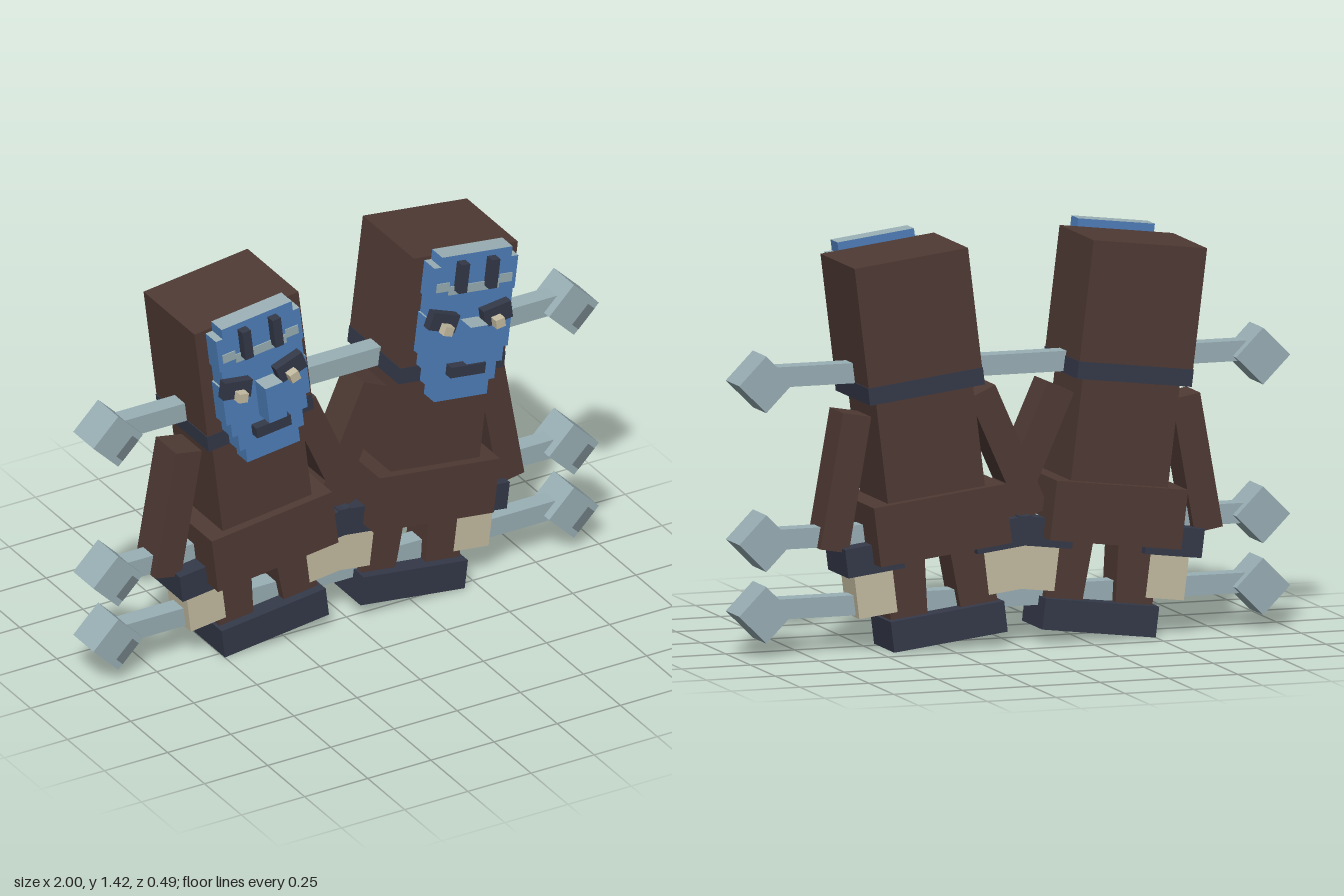
import * as THREE from 'three';

const material = (name, color) => {
  const m = new THREE.MeshStandardMaterial({ color });
  m.name = name;
  return m;
};

export function createModel() {
  const brown = material('brown cloth', 0x4f3a34);
  const navy = material('dark navy', 0x343949);
  const blue = material('mask blue', 0x4e7fbb);
  const steel = material('pale steel', 0x9ab0b6);
  const stain = material('steel stain', 0x6f7d83);
  const beige = material('beige', 0xc5bca2);
  const MID = -0.07; // depth of the body's centre plane

  const box = (parent, name, mat, [w, h, d], [x, y, z], tilt = 0) => {
    const mesh = new THREE.Mesh(new THREE.BoxGeometry(w, h, d), mat);
    mesh.name = name;
    mesh.position.set(x, y, z);
    mesh.rotation.z = THREE.MathUtils.degToRad(tilt);
    parent.add(mesh);
    return mesh;
  };
  // box faces: +x, -x, +y, -y, +z, -z; the mask has pale upper faces
  const maskFaces = [blue, blue, steel, blue, blue, blue];

  // One upright figure, centred on its foot block
  function figure(name) {
    const g = new THREE.Group();
    g.name = name;
    box(g, 'footBlock', navy, [0.415, 0.107, 0.205], [0, 0, MID]);
    box(g, 'skirt', brown, [0.48, 0.207, 0.345], [0.003, 0.367, MID]);
    box(g, 'torso', brown, [0.355, 0.4, 0.28], [0.003, 0.635, MID]);
    box(g, 'collar', navy, [0.42, 0.06, 0.347], [0.004, 0.856, MID]);
    box(g, 'head', brown, [0.415, 0.42, 0.345], [0.004, 1.096, MID]);

    // limbs, mirrored
    for (const s of [-1, 1]) {
      box(g, 'leg', brown, [0.135, 0.28, 0.135], [s * 0.12, 0.17, MID], s * 4);
      box(g, 'arm', brown, [0.104, 0.475, 0.137], [s * 0.298, 0.553, MID], s * 17);
      box(g, 'cuff', navy, [0.207, 0.1, 0.205], [s * 0.237, 0.281, MID]);
      box(g, 'hand', beige, [0.14, 0.16, 0.136], [s * 0.237, 0.157, MID]);
    }

    // stepped mask: [half width, bottom, top]
    const face = new THREE.Group();
    face.name = 'mask';
    face.position.x = 0.005;
    g.add(face);
    const rows = [
      [0.105, 0.775, 0.83], [0.128, 0.83, 0.895], [0.15, 0.895, 0.95],
      [0.167, 0.95, 1.1], [0.16, 1.1, 1.17], [0.167, 1.17, 1.295], [0.14, 1.295, 1.333],
    ];
    for (const [half, y0, y1] of rows) {
      box(face, 'maskRow', maskFaces, [half * 2, y1 - y0, 0.07], [0, (y0 + y1) / 2, 0.14]);
    }
    box(face, 'nose', maskFaces, [0.07, 0.14, 0.07], [-0.002, 1.012, 0.21]);
    box(face, 'mouth', navy, [0.137, 0.04, 0.035], [-0.004, 0.897, 0.192]);
    box(face, 'browStripe', steel, [0.2, 0.033, 0.006], [0, 1.2, 0.176]);
    for (const s of [-1, 1]) {
      box(face, 'browStripeEnd', steel, [0.05, 0.033, 0.006], [s * 0.125, 1.217, 0.176]);
      box(face, 'foreheadMark', navy, [0.033, 0.11, 0.035], [s * 0.06 - 0.003, 1.256, 0.192]);
      box(face, 'eyeSocket', navy, [0.11, 0.065, 0.035], [s * 0.107 - 0.016, 1.097, 0.192], s * 14);
      box(face, 'pupil', beige, [0.036, 0.034, 0.035], [s * 0.103 - 0.018, 1.078, 0.224], s * 14);
    }
    return g;
  }

  const model = new THREE.Group();
  model.name = 'twinFigures';
  for (const [name, x, lean] of [['rightFigure', -0.3, 7], ['leftFigure', 0.25, -7]]) {
    const f = figure(name);
    f.position.set(x, 0.081, 0);
    f.rotation.z = THREE.MathUtils.degToRad(lean);
    model.add(f);
  }

  // Three cross bars with diamond ends
  for (const [barY, endY] of [[0.967, 0.95], [0.405, 0.4], [0.163, 0.152]]) {
    box(model, 'bar', steel, [1.75, 0.07, 0.068], [0, barY, MID]);
    for (const s of [-1, 1]) {
      const end = box(model, 'barEnd', steel, [0.139, 0.139, 0.137], [s * 0.902, endY, MID], 45);
      // worn corner on the front face
      box(end, 'stain', stain, [0.035, 0.09, 0.004], [-0.01, -0.022, 0.0685], 0)
        .position.set(0.0, -0.051, 0.0685);
      end.children[0].rotation.z = Math.PI / 2;
    }
  }
  return model;
}
